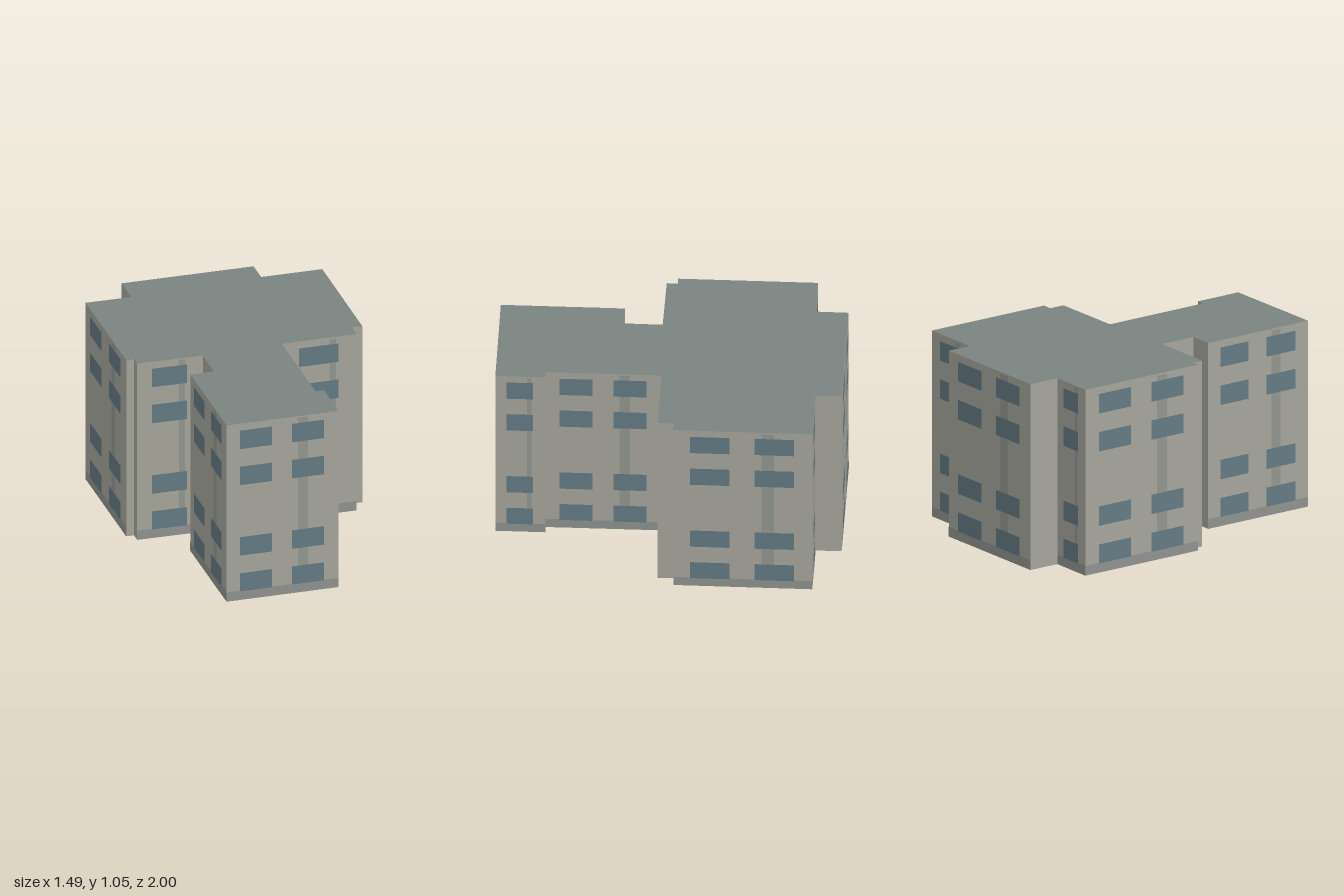
import * as THREE from 'three';

const HEIGHT = 1.05;

// Footprint corners [x, z], clockwise as seen from above
const OUTLINE = [
  [0.165, -1.0], [0.205, -0.865], [0.535, -0.96], [0.742, -0.24], [0.685, -0.225],
  [0.71, -0.14], [0.305, -0.023], [0.48, 0.577], [0.525, 0.564], [0.6, 0.823],
  [-0.005, 1.0], [-0.192, 0.357], [-0.065, 0.32], [-0.122, 0.118], [-0.477, 0.217],
  [-0.493, 0.16], [-0.535, 0.172], [-0.745, -0.553], [-0.5, -0.622], [-0.548, -0.795],
];

// Vertical extents of the window rows (the middle floor has none)
const ROWS = [[0.052, 0.16], [0.265, 0.375], [0.685, 0.795], [0.9, 1.01]];

const paint = (color, side = THREE.FrontSide) =>
  new THREE.MeshStandardMaterial({ color, side, roughness: 0.9 });

export function createModel() {
  const model = new THREE.Group();
  model.name = 'building';

  const wallPaint = paint(0xa5a59b, THREE.DoubleSide);
  const roofPaint = paint(0x7b8380, THREE.DoubleSide);
  const bandPaint = paint(0x8e928e);
  const stripPaint = paint(0x92958f);
  const glassPaint = paint(0x647a83);

  // Flat rectangle on a wall: x0..x1 along it, y0..y1 upward
  const panel = (name, material, x0, x1, y0, y1, lift) => {
    const mesh = new THREE.Mesh(new THREE.PlaneGeometry(x1 - x0, y1 - y0), material);
    mesh.position.set((x0 + x1) / 2, (y0 + y1) / 2, lift);
    mesh.name = name;
    return mesh;
  };

  // Flat roof
  const shape = new THREE.Shape(OUTLINE.map(([x, z]) => new THREE.Vector2(x, -z)));
  const roof = new THREE.Mesh(new THREE.ShapeGeometry(shape).rotateX(-Math.PI / 2), roofPaint);
  roof.position.y = HEIGHT;
  roof.name = 'roof';
  model.add(roof);

  // One facade per footprint edge, left to right as seen from outside
  OUTLINE.forEach(([ax, az], i) => {
    const [bx, bz] = OUTLINE[(i + 1) % OUTLINE.length];
    const length = Math.hypot(bx - ax, bz - az);
    const facade = new THREE.Group();
    facade.name = 'facade';
    facade.position.set((ax + bx) / 2, 0, (az + bz) / 2);
    facade.rotation.y = Math.atan2(bz - az, ax - bx);
    facade.add(panel('wall', wallPaint, -length / 2, length / 2, 0, HEIGHT, 0));
    model.add(facade);

    // Short return walls stay plain
    if (length < 0.23) return;
    const at = (u) => (u - 0.5) * length;
    const columns = length > 0.5 ? [[0.12, 0.403], [0.583, 0.87]] : [[0.225, 0.755]];
    facade.add(panel('plinthBand', bandPaint, at(0), at(1), 0, 0.055, 0.001));
    facade.add(panel('verticalStrip', stripPaint, at(0.635), at(0.725), 0.055, 1.04, 0.001));
    for (const [u0, u1] of columns)
      for (const [y0, y1] of ROWS)
        facade.add(panel('window', glassPaint, at(u0), at(u1), y0, y1, 0.003));
  });

  return model;
}
